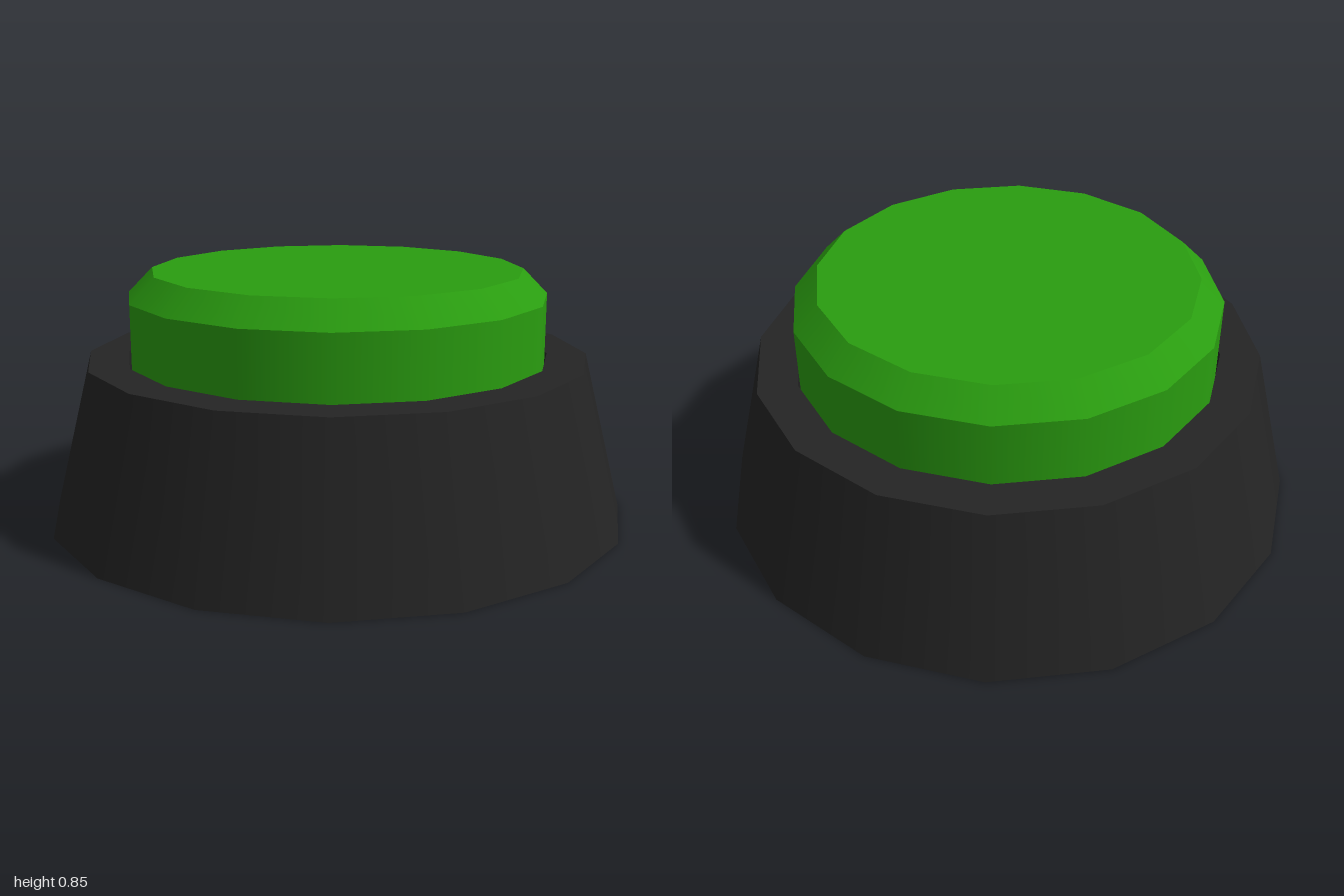
import * as THREE from 'three';
import { mergeGeometries } from 'three/addons/utils/BufferGeometryUtils.js';

const SIDES = 16;

// Revolve a profile one band at a time: smooth around, sharp between bands.
function turned(name, profile, color) {
  const bands = [];
  for (let i = 0; i < profile.length - 1; i++) {
    const pair = [profile[i], profile[i + 1]].map(([r, y]) => new THREE.Vector2(r, y));
    bands.push(new THREE.LatheGeometry(pair, SIDES));
  }
  const mesh = new THREE.Mesh(mergeGeometries(bands), new THREE.MeshStandardMaterial({ color }));
  mesh.name = name;
  return mesh;
}

export function createModel() {
  const model = new THREE.Group();
  model.name = 'pushButton';

  // Tapered housing with an open bore
  model.add(turned('housing', [
    [0.725, 0], [1, 0], [0.86, 0.55], [0.725, 0.55], [0.725, 0],
  ], 0x242424));

  // Chamfered button sitting loosely in the bore
  model.add(turned('button', [
    [0, 0.3], [0.718, 0.3], [0.718, 0.76], [0.635, 0.845], [0, 0.845],
  ], 0x2a9d10));

  return model;
}
